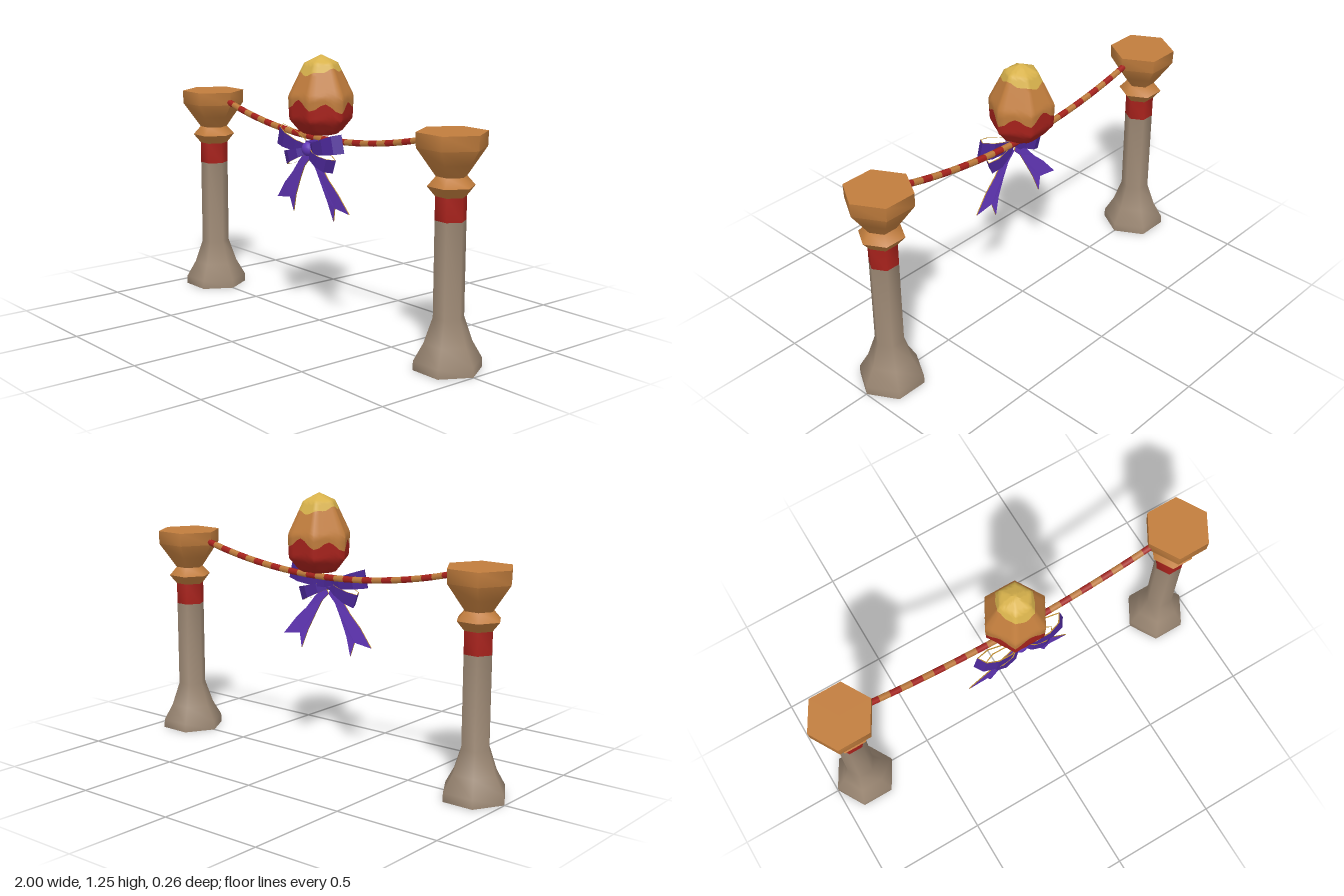
import * as THREE from 'three';
import { toCreasedNormals } from 'three/addons/utils/BufferGeometryUtils.js';

const mat = (name, color, side = THREE.FrontSide) => {
  const m = new THREE.MeshStandardMaterial({ color, side });
  m.name = name;
  return m;
};
const V2 = (p) => new THREE.Vector2(p[0], p[1]);

export function createModel() {
  const stone = mat('stone', 0x9c8874);
  const red = mat('red', 0xa8221c);
  const orange = mat('orange', 0xc17d3d);
  const yellow = mat('yellow', 0xd8b24c);
  const purple = mat('purple', 0x6337ba);
  const deepPurple = mat('deep purple', 0x4c2898);
  const gold = mat('gold trim', 0xb8892f);

  const model = new THREE.Group();
  const add = (parent, name, geo, material) => {
    const m = new THREE.Mesh(geo, material);
    m.name = name;
    parent.add(m);
    return m;
  };

  // Six-sided turned part, corners pointing along x
  const hexTurn = (profile) => {
    const g = new THREE.LatheGeometry(profile.map(V2), 6);
    g.rotateY(Math.PI / 2);
    return toCreasedNormals(g, 1.1);
  };

  // Posts
  for (const s of [1, -1]) {
    const post = new THREE.Group();
    post.name = s > 0 ? 'leftPost' : 'rightPost';
    post.position.x = s * 0.848;
    add(post, 'shaft', hexTurn([[0, 0], [0.15, 0], [0.148, 0.04], [0.105, 0.115], [0.067, 0.225], [0.067, 0.635]]), stone);
    add(post, 'band', hexTurn([[0.067, 0.635], [0.067, 0.737]]), red);
    add(post, 'capital', hexTurn([
      [0.064, 0.732], [0.102, 0.778], [0.066, 0.818], [0.104, 0.872], [0.15, 0.937], [0.152, 1], [0, 1],
    ]), orange);
    model.add(post);
  }

  // Sagging rope with alternating stripes
  const ropePts = [];
  for (let i = -6; i <= 6; i++) {
    const x = (i / 6) * 0.72;
    ropePts.push(new THREE.Vector3(x, 0.862 + 0.18 * x * x, 0));
  }
  const segs = 54, sides = 6;
  const rope = new THREE.TubeGeometry(new THREE.CatmullRomCurve3(ropePts), segs, 0.015, sides);
  for (let i = 0; i < segs; i += 2) rope.addGroup(i * sides * 6, 2 * sides * 6, (i / 2) % 2);
  add(model, 'rope', rope, [red, orange]);

  // Egg: hexagonal cross-sections, split into three wavy colour bands
  const eggProfile = [[0, 0.875], [0.09, 0.89], [0.145, 0.955], [0.15, 1.06], [0.077, 1.208], [0, 1.245]];
  const eggRadius = (y) => {
    for (let i = 1; i < eggProfile.length; i++) {
      const [r0, y0] = eggProfile[i - 1], [r1, y1] = eggProfile[i];
      if (y <= y1) return r0 + (r1 - r0) * Math.max(0, (y - y0) / (y1 - y0));
    }
    return 0;
  };
  const eggBand = (low, high) => {
    const cols = 36, rows = 10, pos = [], idx = [];
    for (let c = 0; c <= cols; c++) {
      const a = (c / cols) * Math.PI * 2;
      const hex = Math.cos(Math.PI / 6) / Math.cos((a % (Math.PI / 3)) - Math.PI / 6);
      for (let r = 0; r <= rows; r++) {
        const y = low(a) + (high(a) - low(a)) * (r / rows);
        const rad = eggRadius(y) * hex;
        pos.push(rad * Math.cos(a), y, -rad * Math.sin(a));
        if (c < cols && r < rows) {
          const p = c * (rows + 1) + r, q = p + rows + 1;
          idx.push(p, q, p + 1, q, q + 1, p + 1);
        }
      }
    }
    const g = new THREE.BufferGeometry();
    g.setAttribute('position', new THREE.Float32BufferAttribute(pos, 3));
    g.setIndex(idx);
    return toCreasedNormals(g, 1.1);
  };
  const redEdge = (a) => 1.02 - 0.01 * Math.cos(2 * a) - 0.02 * Math.cos(6 * a);
  const yellowEdge = (a) => 1.17 + 0.012 * Math.cos(2 * a) + 0.006 * Math.cos(6 * a);
  const egg = new THREE.Group();
  egg.name = 'egg';
  egg.position.set(0.01, 0, -0.002);
  add(egg, 'eggBase', eggBand(() => 0.875, redEdge), red);
  add(egg, 'eggMiddle', eggBand(redEdge, yellowEdge), orange);
  add(egg, 'eggTip', eggBand(yellowEdge, () => 1.245), yellow);
  model.add(egg);

  // Bow loop: hollow ribbon ring with gold rims, widening outwards
  const loopPts = [[0, 0.055], [0.07, 0.093], [0.15, 0.1], [0.21, 0.085], [0.238, 0.045], [0.17, 0.026], [0.08, 0.032]];
  const bowLoop = (length, width, angle) => {
    const shape = new THREE.Shape(loopPts.map(([x, z]) => new THREE.Vector2(x * length, z)));
    shape.holes.push(new THREE.Path(loopPts.map(([x, z]) =>
      new THREE.Vector2((0.13 + (x - 0.13) * 0.94) * length, 0.063 + (z - 0.063) * 0.84))));
    const g = new THREE.ExtrudeGeometry(shape, { depth: width, bevelEnabled: false });
    g.translate(0, 0, -width / 2);
    g.rotateX(Math.PI / 2);
    const p = g.attributes.position;
    for (let i = 0; i < p.count; i++) {
      p.setY(i, p.getY(i) * (0.45 + 0.55 * Math.min(1, p.getX(i) / (0.22 * length))));
    }
    g.computeVertexNormals();
    g.rotateZ(angle);
    g.translate(0, 0.815, 0);
    return g;
  };

  // Swallow-tailed ribbon end, curving back slightly as it falls
  const tailShape = new THREE.Shape([
    [0, 0.775], [0.04, 0.735], [0.075, 0.67], [0.115, 0.59], [0.145, 0.505],
    [0.163, 0.57], [0.26, 0.557], [0.19, 0.64], [0.13, 0.695], [0.075, 0.76], [0.02, 0.81],
  ].map(V2));
  const tail = new THREE.ExtrudeGeometry(tailShape, { depth: 0.005, bevelEnabled: false });
  const tp = tail.attributes.position;
  for (let i = 0; i < tp.count; i++) {
    const d = 0.81 - tp.getY(i);
    tp.setZ(i, tp.getZ(i) + 0.052 - 0.22 * d * d);
  }
  tail.computeVertexNormals();

  const bow = new THREE.Group();
  bow.name = 'bow';
  for (const s of [1, -1]) {
    const half = new THREE.Group();
    half.name = s > 0 ? 'bowLeft' : 'bowRight';
    half.scale.x = s;
    add(half, 'upperLoop', bowLoop(0.95, 0.085, 0.24), [gold, deepPurple]);
    add(half, 'lowerLoop', bowLoop(0.72, 0.065, -0.34), [gold, deepPurple]);
    add(half, 'tail', tail, [purple, gold]);
    bow.add(half);
  }
  const knot = add(bow, 'knot', new THREE.SphereGeometry(0.032, 10, 8), purple);
  knot.position.set(0, 0.82, 0.068);
  knot.scale.set(1, 1, 0.8);
  // Ribbon wrap tying the bow to the rope
  const wrap = add(bow, 'wrap', new THREE.BoxGeometry(0.04, 0.04, 0.07), deepPurple);
  wrap.position.set(0, 0.835, 0.03);
  model.add(bow);

  return model;
}
